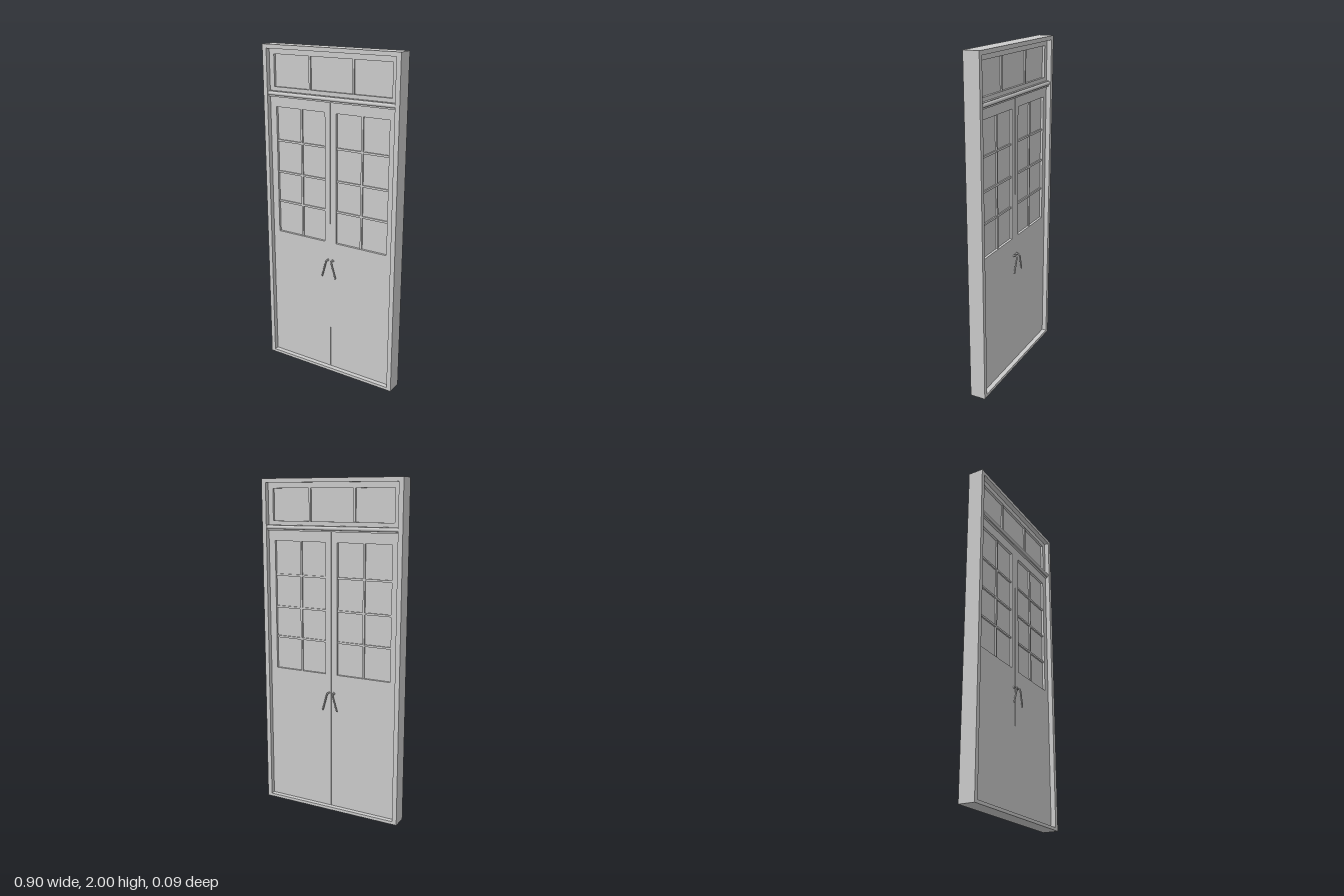
import * as THREE from 'three';

const grey = new THREE.MeshStandardMaterial({ color: 0xcccccc });

function add(parent, name, geometry, x = 0, y = 0, z = 0) {
  const mesh = new THREE.Mesh(geometry, grey);
  mesh.name = name;
  mesh.position.set(x, y, z);
  parent.add(mesh);
  return mesh;
}

// Box given by its edges in x and y, centred in depth
function slab(parent, name, x0, x1, y0, y1, depth) {
  return add(parent, name, new THREE.BoxGeometry(x1 - x0, y1 - y0, depth), (x0 + x1) / 2, (y0 + y1) / 2);
}

function rect(target, [x0, x1, y0, y1]) {
  target.moveTo(x0, y0);
  target.lineTo(x1, y0);
  target.lineTo(x1, y1);
  target.lineTo(x0, y1);
  target.closePath();
  return target;
}

// Rectangular panel with a rectangular opening, centred in depth
function ring(parent, name, outer, inner, depth) {
  const shape = rect(new THREE.Shape(), outer);
  shape.holes.push(rect(new THREE.Path(), inner));
  const geometry = new THREE.ExtrudeGeometry(shape, { depth, bevelEnabled: false });
  return add(parent, name, geometry, 0, 0, -depth / 2);
}

// Glass with glazing bars at the given x and y positions
function glazing(parent, [x0, x1, y0, y1], xs, ys) {
  slab(parent, 'glass', x0, x1, y0, y1, 0.006);
  for (const x of xs) slab(parent, 'uprightGlazingBar', x - 0.006, x + 0.006, y0, y1, 0.024);
  for (const y of ys) slab(parent, 'crossGlazingBar', x0, x1, y - 0.006, y + 0.006, 0.022);
}

// Lever handle: rose, spindle and sloping grip
function handle(side, face) {
  const group = new THREE.Group();
  group.name = 'handle';
  const rose = add(group, 'rose', new THREE.CylinderGeometry(0.008, 0.008, 0.004, 16), side * 0.017, 0.745, face * 0.02);
  rose.rotation.x = Math.PI / 2;
  const path = new THREE.CatmullRomCurve3([
    [0.017, 0.745, 0.018], [0.017, 0.745, 0.034], [0.02, 0.735, 0.039],
    [0.033, 0.69, 0.039], [0.047, 0.643, 0.038],
  ].map(([x, y, z]) => new THREE.Vector3(side * x, y, face * z)));
  add(group, 'lever', new THREE.TubeGeometry(path, 24, 0.005, 10));
  add(group, 'leverTip', new THREE.SphereGeometry(0.005, 10, 8), side * 0.047, 0.643, face * 0.038);
  return group;
}

// One glazed door leaf with a handle on each face
function doorLeaf(side) {
  const leaf = new THREE.Group();
  leaf.name = side > 0 ? 'leftDoor' : 'rightDoor';
  const span = (a, b) => (side > 0 ? [a, b] : [-b, -a]);
  const opening = [...span(0.038, 0.38), 0.86, 1.64];
  ring(leaf, 'doorPanel', [...span(0.0015, 0.423), 0.018, 1.702], opening, 0.036);
  glazing(leaf, opening, [side * 0.206], [1.057, 1.243, 1.437]);
  leaf.add(handle(side, 1), handle(side, -1));
  return leaf;
}

export function createModel() {
  const model = new THREE.Group();
  model.name = 'doubleDoor';

  // Outer frame
  ring(model, 'frame', [-0.45, 0.45, 0, 2], [-0.422, 0.422, 0.018, 1.976], 0.094);

  // Transom bar with a slimmer rail above its nosing
  slab(model, 'transomBar', -0.422, 0.422, 1.7, 1.734, 0.064);
  const nosing = add(model, 'transomNosing', new THREE.CylinderGeometry(0.011, 0.011, 0.844, 16), 0, 1.72, 0.032);
  nosing.rotation.z = Math.PI / 2;
  const backNosing = nosing.clone();
  backNosing.position.z = -0.032;
  model.add(backNosing);

  // Fixed window above the doors
  const light = new THREE.Group();
  light.name = 'transomWindow';
  const opening = [-0.39, 0.39, 1.757, 1.944];
  ring(light, 'sash', [-0.423, 0.423, 1.73, 1.977], opening, 0.036);
  glazing(light, opening, [-0.144, 0.144], []);
  model.add(light);

  // Pair of doors and the tongue closing the gap between them
  model.add(doorLeaf(1), doorLeaf(-1));
  slab(model, 'meetingTongue', -0.004, 0.004, 0.018, 1.7, 0.02);

  return model;
}
